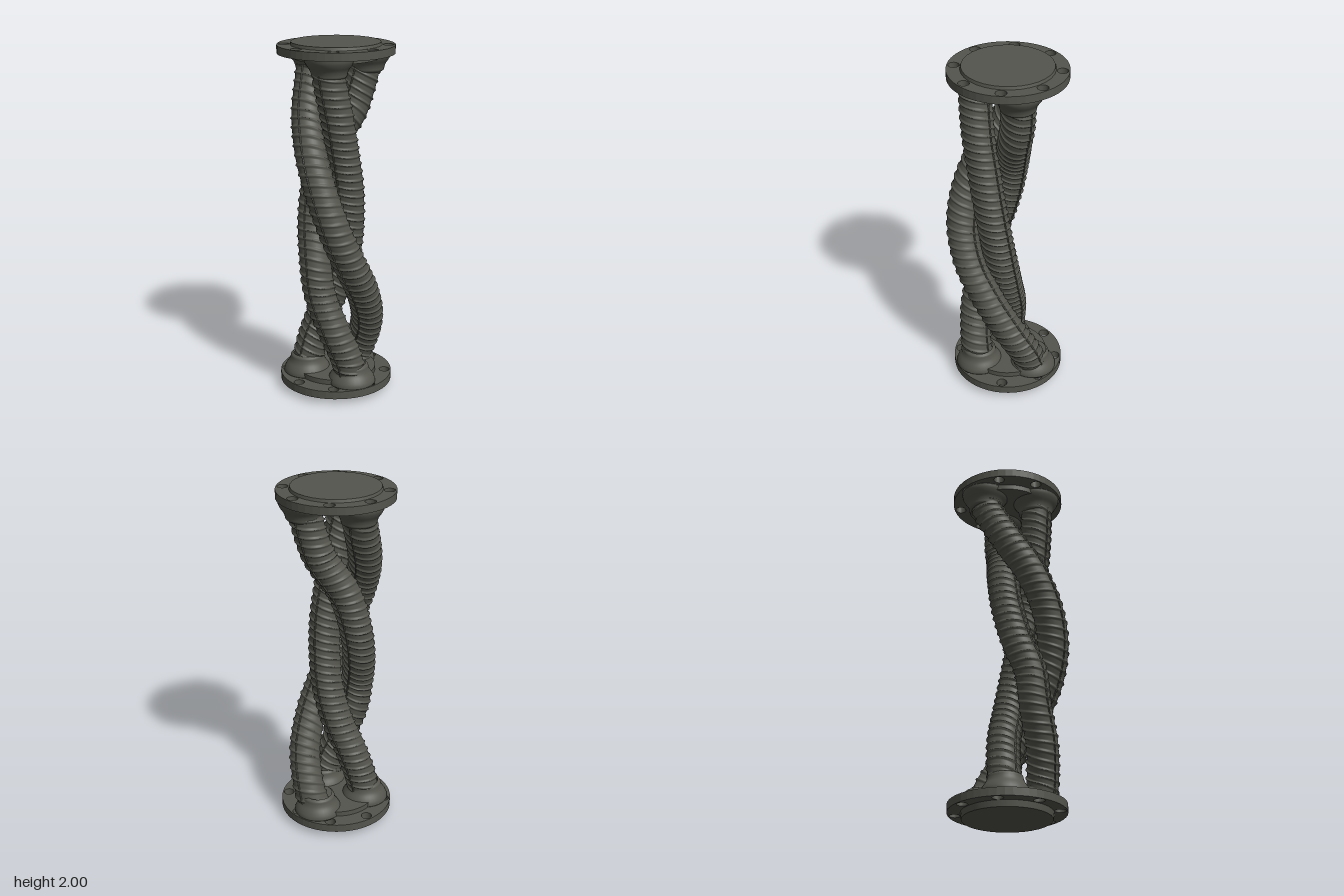
import * as THREE from 'three';

const CZ = -0.01; // z of the flange axis
const SEGMENTS = 32;
const RIBS = 42; // ribs along one hose
const STARTS = 3; // parallel spirals per hose

// Centre lines of the three hoses, listed downwards as [x, y, z]
const HOSES = [
  [[0.04, 1.95, 0.16], [0.04, 1.85, 0.165], [0.075, 1.6, 0.13], [0.09, 1.4, 0.09], [0.1, 1.2, 0.05], [0.09, 1, 0.02],
    [0.06, 0.8, 0], [0, 0.6, 0], [-0.085, 0.4, 0.02], [-0.137, 0.2, 0.055], [-0.147, 0.06, 0.07]],
  [[-0.165, 1.95, -0.06], [-0.165, 1.85, -0.05], [-0.13, 1.6, 0.08], [-0.055, 1.4, 0.185], [0.03, 1.2, 0.233], [0.105, 1, 0.225],
    [0.16, 0.8, 0.15], [0.18, 0.6, 0.02], [0.155, 0.4, -0.105], [0.08, 0.2, -0.185], [0.02, 0.06, -0.19]],
  [[0.125, 1.95, -0.14], [0.112, 1.85, -0.135], [0.08, 1.7, -0.112], [0.053, 1.6, -0.082], [-0.05, 1.4, -0.007], [-0.09, 1.2, 0.045],
    [-0.087, 1, 0.1], [-0.045, 0.8, 0.165], [-0.01, 0.6, 0.175], [0.07, 0.4, 0.168], [0.135, 0.22, 0.13], [0.15, 0.06, 0.1]],
];

// Point on a hose at distance u and angle phi, at the given radius
function frameAt(curve, u) {
  const p = curve.getPointAt(u);
  const t = curve.getTangentAt(u);
  const n = new THREE.Vector3(1, 0, 0).addScaledVector(t, -t.x).normalize();
  const b = new THREE.Vector3().crossVectors(t, n);
  return (phi, r) => p.clone().addScaledVector(n, r * Math.cos(phi)).addScaledVector(b, r * Math.sin(phi));
}

// Hose skin with slanted, spiralling ribs
function ribbedTube(curve) {
  const rings = RIBS * 9;
  const pos = [];
  const index = [];
  for (let i = 0; i <= rings; i++) {
    const at = frameAt(curve, i / rings);
    for (let j = 0; j < SEGMENTS; j++) {
      const phase = (i / rings) * RIBS + (STARTS * j) / SEGMENTS;
      const t = phase - Math.floor(phase);
      const rib = t < 0.34 ? 0.008 * Math.sin((Math.PI * t) / 0.34) : 0;
      pos.push(...at((j / SEGMENTS) * Math.PI * 2, 0.087 + rib).toArray());
      if (i === rings) continue;
      const a = i * SEGMENTS + j;
      const b = i * SEGMENTS + ((j + 1) % SEGMENTS);
      index.push(a, b, a + SEGMENTS, b, b + SEGMENTS, a + SEGMENTS);
    }
  }
  const g = new THREE.BufferGeometry();
  g.setAttribute('position', new THREE.Float32BufferAttribute(pos, 3));
  g.setIndex(index);
  g.computeVertexNormals();
  return g;
}

// Thin raised seam running along a hose
function seamTube(curve, phi) {
  const pts = [];
  for (let i = 0; i <= 50; i++) pts.push(frameAt(curve, 0.04 + (0.92 * i) / 50)(phi, 0.089));
  return new THREE.TubeGeometry(new THREE.CatmullRomCurve3(pts), 120, 0.005, 6);
}

export function createModel() {
  const root = new THREE.Group();
  const rubber = new THREE.MeshStandardMaterial({ color: 0x55554e });
  rubber.name = 'darkGrey';

  const add = (parent, name, geometry, x = 0, y = 0, z = 0) => {
    const mesh = new THREE.Mesh(geometry, rubber);
    mesh.name = name;
    mesh.position.set(x, y, z);
    parent.add(mesh);
  };

  // Flange ring with eight bolt holes
  const ring = new THREE.Shape().absarc(0, 0, 0.322, 0, Math.PI * 2, false);
  for (let i = 0; i < 8; i++) {
    const a = ((i + 0.5) * Math.PI) / 4;
    ring.holes.push(new THREE.Path().absarc(0.284 * Math.cos(a), 0.284 * Math.sin(a), 0.03, 0, Math.PI * 2, true));
  }
  const flangeGeo = new THREE.ExtrudeGeometry(ring, { depth: 0.045, bevelEnabled: false, curveSegments: 24 });
  flangeGeo.rotateX(-Math.PI / 2);

  // Bell-shaped collar where a hose meets the flange, closed at its base
  const bell = new THREE.SplineCurve([
    [0.136, 0], [0.133, 0.02], [0.122, 0.042], [0.106, 0.065], [0.098, 0.085], [0.094, 0.102], [0.08, 0.112],
  ].map(([r, y]) => new THREE.Vector2(r, y))).getPoints(20);
  const collarGeo = new THREE.LatheGeometry([new THREE.Vector2(0, 0), ...bell], 32);

  // One end, modelled upright from the flange's outer face; the top one is turned over
  const makeEnd = (name, discHeight, seats) => {
    const end = new THREE.Group();
    end.name = name;
    add(end, 'endDisc', new THREE.CylinderGeometry(0.25, 0.245, discHeight, 32), 0, -discHeight / 2, 0);
    add(end, 'flange', flangeGeo);
    add(end, 'innerPlate', new THREE.CylinderGeometry(0.23, 0.23, 0.03, 40), 0, 0.059, 0);
    seats.forEach(([x, z]) => add(end, 'collar', collarGeo, x, 0.044, z));
    root.add(end);
    return end;
  };
  const bottom = makeEnd('bottomEnd', 0.035, HOSES.map((h) => [h.at(-1)[0], h.at(-1)[2] - CZ]));
  bottom.position.set(0, 0.035, CZ);
  const top = makeEnd('topEnd', 0.016, HOSES.map((h) => [h[0][0], CZ - h[0][2]]));
  top.rotation.x = Math.PI;
  top.position.set(0, 1.984, CZ);

  // Three twisted hoses
  HOSES.forEach((points) => {
    const curve = new THREE.CatmullRomCurve3(points.map((p) => new THREE.Vector3(...p)));
    const hose = new THREE.Group();
    hose.name = 'hose';
    add(hose, 'ribbedSkin', ribbedTube(curve));
    [1.75, 1.75 + Math.PI].forEach((phi) => add(hose, 'seam', seamTube(curve, phi)));
    root.add(hose);
  });
  return root;
}
